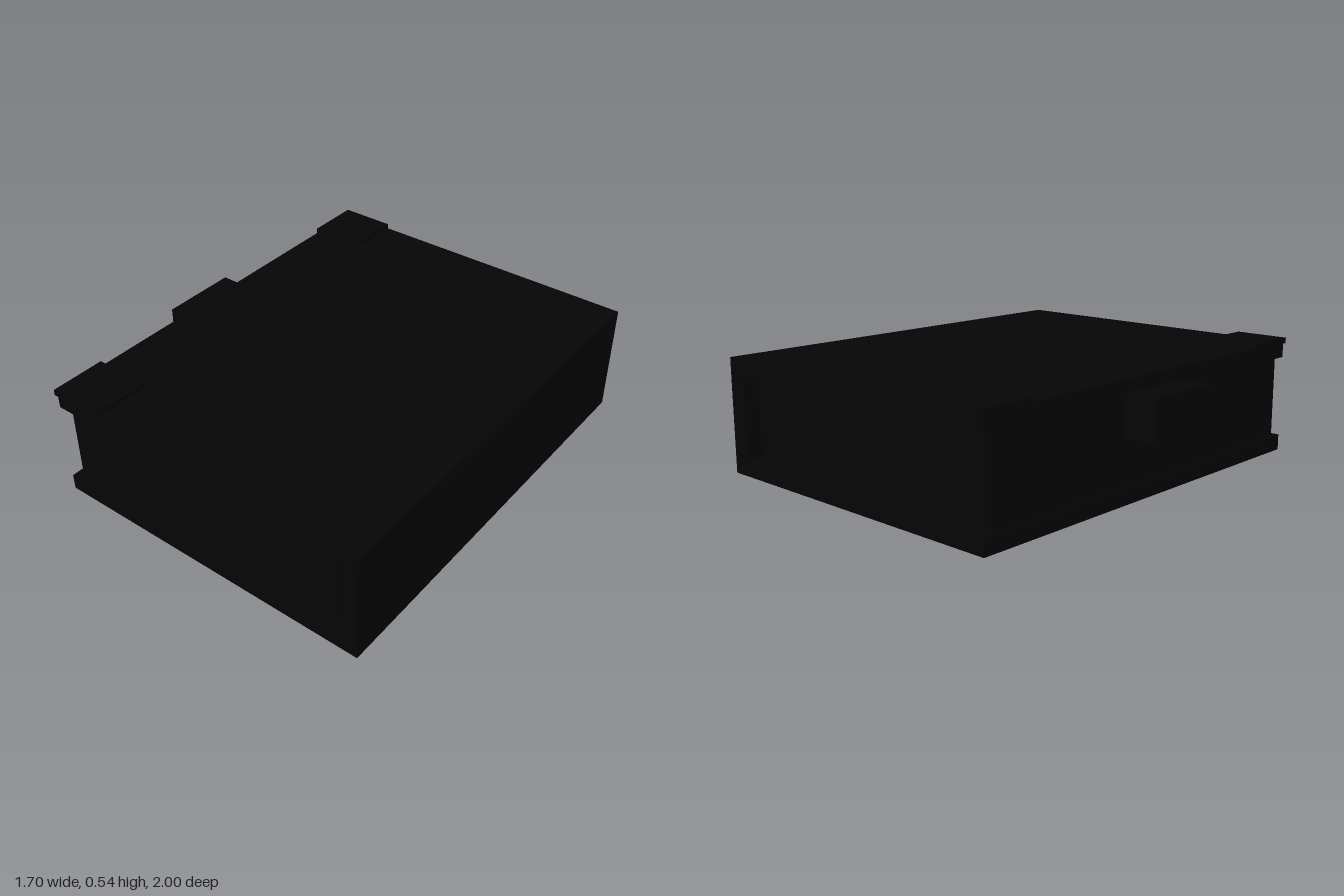
import * as THREE from 'three';

const black = new THREE.MeshStandardMaterial({ color: 0x050505 });
black.name = 'black';

// box given by its lower and upper limits
function block(name, [x0, y0, z0], [x1, y1, z1]) {
  const geometry = new THREE.BoxGeometry(x1 - x0, y1 - y0, z1 - z0);
  geometry.translate((x0 + x1) / 2, (y0 + y1) / 2, (z0 + z1) / 2);
  const mesh = new THREE.Mesh(geometry, black);
  mesh.name = name;
  return mesh;
}

export function createModel() {
  const book = new THREE.Group();
  book.name = 'book';

  // covers and spine
  book.add(block('backCover', [-0.707, 0, -0.993], [0.76, 0.073, 0.99]));
  book.add(block('frontCover', [-0.707, 0.449, -0.993], [0.76, 0.522, 0.99]));
  book.add(block('spine', [0.76, 0, -0.993], [0.848, 0.522, 0.99]));

  // page block, set in from the covers and clear of the spine
  book.add(block('pages', [-0.695, 0.073, -0.945], [0.716, 0.449, 0.942]));

  // clasp on the fore edge
  book.add(block('clasp', [-0.85, 0.28, -0.187], [-0.69, 0.465, 0.182]));

  // corner plates wrapping the front cover's outer corners
  for (const side of [-1, 1]) {
    const z = [side * 0.74, side * 1].sort((a, b) => a - b);
    book.add(block(side > 0 ? 'lowerCornerPlate' : 'upperCornerPlate',
      [-0.714, 0.515, z[0]], [-0.455, 0.541, z[1]]));
  }
  return book;
}
